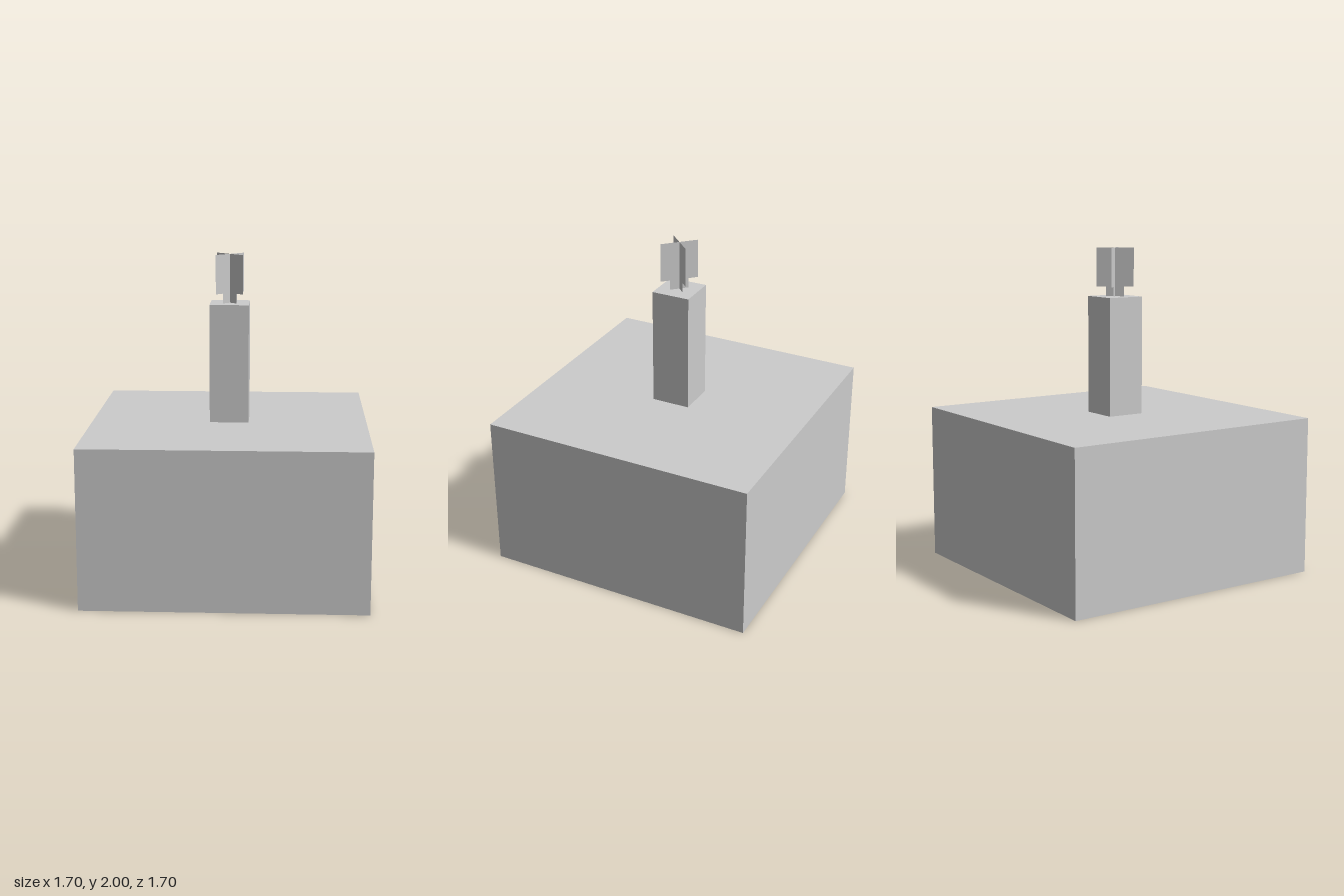
import * as THREE from 'three';

export function createModel() {
  const group = new THREE.Group();
  const material = new THREE.MeshStandardMaterial({ color: 0xcccccc, flatShading: true });
  const thin = new THREE.MeshStandardMaterial({ color: 0xcccccc, side: THREE.DoubleSide });

  // Square block standing on the ground
  function block(name, width, bottom, top) {
    const mesh = new THREE.Mesh(new THREE.BoxGeometry(width, top - bottom, width), material);
    mesh.position.y = (bottom + top) / 2;
    mesh.name = name;
    group.add(mesh);
  }
  block('cakeBase', 1.7, 0, 0.97);
  block('candle', 0.24, 0.97, 1.7);

  // Flame: two flat stepped sheets crossing on the diagonals
  const wide = 0.083 * Math.SQRT2;
  const narrow = 0.041 * Math.SQRT2;
  const outline = new THREE.Shape([
    [-narrow, 1.7], [narrow, 1.7], [narrow, 1.76], [wide, 1.76],
    [wide, 2], [-wide, 2], [-wide, 1.76], [-narrow, 1.76],
  ].map(([x, y]) => new THREE.Vector2(x, y)));
  const sheet = new THREE.ShapeGeometry(outline);
  const flame = new THREE.Group();
  flame.name = 'flame';
  for (const side of [-1, 1]) {
    const mesh = new THREE.Mesh(sheet, thin);
    mesh.rotation.y = side * Math.PI / 4;
    mesh.name = side < 0 ? 'flameSheetA' : 'flameSheetB';
    flame.add(mesh);
  }
  group.add(flame);

  return group;
}
